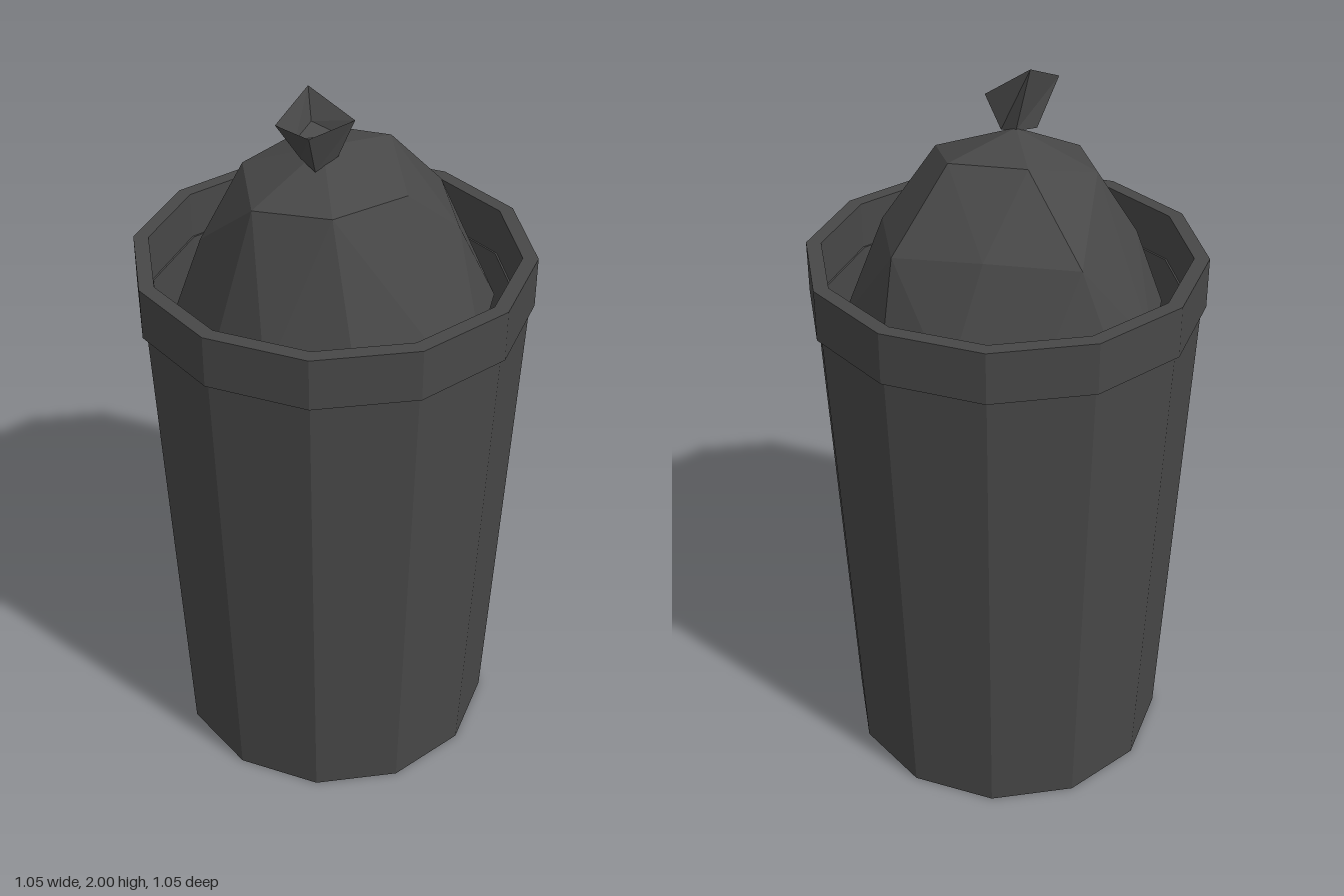
import * as THREE from 'three';
import { ConvexGeometry } from 'three/addons/geometries/ConvexGeometry.js';

const SIDES = 12;

export function createModel() {
  const group = new THREE.Group();
  const binMat = new THREE.MeshStandardMaterial({ color: 0x484848, flatShading: true });
  binMat.name = 'dark grey';

  const add = (name, geometry) => {
    const mesh = new THREE.Mesh(geometry, binMat);
    mesh.name = name;
    group.add(mesh);
  };
  const lathe = (profile) =>
    new THREE.LatheGeometry(profile.map(([r, y]) => new THREE.Vector2(r, y)), SIDES);

  // Hollow tapered bin with a floor
  add('binBody', lathe([[0, 0], [0.455, 0], [0.513, 1.4], [0.48, 1.4], [0.422, 0.04], [0, 0.04]]));

  // Wide collar around the mouth
  add('binRim', lathe([[0.485, 1.39], [0.525, 1.39], [0.525, 1.53], [0.485, 1.53], [0.485, 1.39]]));

  // Lumpy faceted rubbish bag: crown, shoulders, widest ring and hidden base
  const crown = [
    [-0.02, 1.845, 0.06], [0.135, 1.81, -0.095], [-0.065, 1.815, -0.125], [-0.23, 1.76, 0],
    [0.195, 1.76, 0.13], [0.025, 1.75, 0.25], [-0.175, 1.74, 0.21],
  ];
  const shoulders = [
    [0.03, 1.64, -0.29], [0.26, 1.62, -0.24], [-0.21, 1.63, -0.29], [-0.335, 1.57, 0.065],
    [0.32, 1.61, 0],
  ];
  const waist = [
    [-0.11, -0.405], [0.11, -0.4], [0.285, -0.32], [0.42, -0.095], [0.39, 0.145], [0.32, 0.275],
    [0.1, 0.38], [-0.13, 0.365], [-0.275, 0.27], [-0.41, 0.08], [-0.39, -0.165], [-0.305, -0.3],
  ];
  const bagPoints = [
    ...crown, ...shoulders,
    ...waist.map(([x, z]) => [x, 1.36, z]),
    ...waist.map(([x, z]) => [x * 0.65, 1.0, z * 0.65]),
    [0, 0.88, 0],
  ].map((p) => new THREE.Vector3(...p));
  add('rubbishBag', new ConvexGeometry(bagPoints));

  // Flared, hollow tied end of the bag: three rings of four corners
  const rings = [
    [[-0.07, 1.83, 0.1], [-0.03, 1.81, 0.13], [0.02, 1.83, 0.08], [-0.02, 1.84, 0.05]],
    [[-0.12, 1.945, 0.165], [-0.035, 1.935, 0.21], [0.06, 1.925, 0.075], [-0.055, 2.0, 0.055]],
    [[-0.075, 1.9, 0.145], [-0.035, 1.895, 0.165], [0.02, 1.89, 0.08], [-0.045, 1.92, 0.08]],
  ];
  const index = [8, 9, 10, 8, 10, 11];
  for (let r = 0; r < 2; r++) {
    for (let i = 0; i < 4; i++) {
      const a = r * 4 + i, b = r * 4 + (i + 1) % 4;
      index.push(a, b, b + 4, a, b + 4, a + 4);
    }
  }
  const knot = new THREE.BufferGeometry();
  knot.setAttribute('position', new THREE.Float32BufferAttribute(rings.flat(2), 3));
  knot.setIndex(index);
  knot.computeVertexNormals();
  add('bagKnot', knot);

  return group;
}
